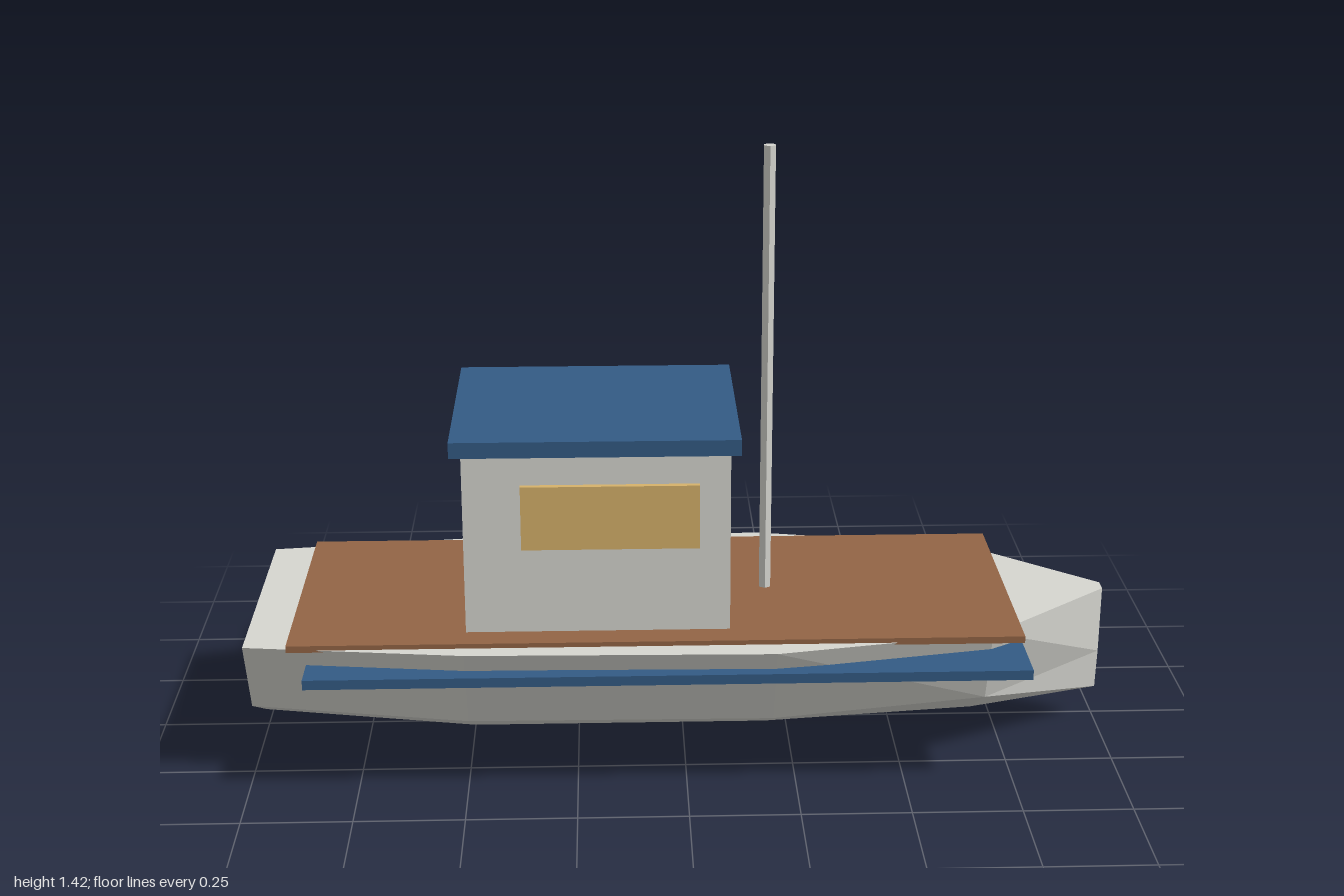
import * as THREE from 'three';
import { ConvexGeometry } from 'three/addons/geometries/ConvexGeometry.js';

const paint = (name, color) => {
  const m = new THREE.MeshStandardMaterial({ color });
  m.name = name;
  return m;
};

// Hard-chined hull lofted through five-point sections
function hullGeometry() {
  // x, half beam at gunwale, half beam at chine, keel y, chine y
  const stations = [
    [-1, 0.295, 0.21, 0.05, 0.16],
    [-0.5, 0.355, 0.255, 0, 0.135],
    [0.2, 0.368, 0.262, 0, 0.135],
    [0.7, 0.272, 0.197, 0.03, 0.15],
    [1, 0.018, 0.013, 0.08, 0.18],
  ];
  const gunwale = 0.345, n = 5;
  const points = [], index = [];
  for (const [x, top, chine, keelY, chineY] of stations) {
    points.push(x, gunwale, top, x, chineY, chine, x, keelY, 0,
      x, chineY, -chine, x, gunwale, -top);
  }
  for (let i = 0; i < stations.length - 1; i++) {
    for (let j = 0; j < n; j++) {
      const a = i * n + j, a2 = i * n + (j + 1) % n;
      index.push(a, a2, a2 + n, a, a2 + n, a + n);
    }
  }
  const bow = (stations.length - 1) * n;
  for (let k = 1; k < n - 1; k++) {
    index.push(0, k + 1, k, bow, bow + k, bow + k + 1);
  }
  const indexed = new THREE.BufferGeometry();
  indexed.setAttribute('position', new THREE.Float32BufferAttribute(points, 3));
  indexed.setIndex(index);
  const geo = indexed.toNonIndexed();
  geo.computeVertexNormals();
  return geo;
}

// Faceted buoy: two offset rings of five between two poles
function fenderGeometry() {
  const pts = [new THREE.Vector3(0, 0.072, 0), new THREE.Vector3(0, -0.072, 0)];
  for (let i = 0; i < 5; i++) {
    const a = (i * Math.PI * 2) / 5, x = Math.cos(a) * 0.0475, z = Math.sin(a) * 0.0475;
    pts.push(new THREE.Vector3(x, 0.032, z), new THREE.Vector3(-x, -0.032, z));
  }
  return new ConvexGeometry(pts);
}

export function createModel() {
  const white = paint('hull white', 0xd6d6d0);
  const blue = paint('trim blue', 0x335b85);
  const wood = paint('deck wood', 0x936546);
  const amber = paint('window amber', 0xd6b26a);
  const red = paint('fender red', 0xb03a32);

  const boat = new THREE.Group();
  boat.name = 'boat';
  boat.position.z = 0.025;
  const add = (name, geo, mat, x = 0, y = 0, z = 0) => {
    const mesh = new THREE.Mesh(geo, mat);
    mesh.name = name;
    mesh.position.set(x, y, z);
    boat.add(mesh);
    return mesh;
  };
  const box = (name, mat, x0, x1, y0, y1, depth, z = 0) =>
    add(name, new THREE.BoxGeometry(x1 - x0, y1 - y0, depth), mat, (x0 + x1) / 2, (y0 + y1) / 2, z);

  // Hull, deck and rub rail
  add('hull', hullGeometry(), white);
  box('deck', wood, -0.9, 0.765, 0.34, 0.356, 0.63);
  box('rubRail', blue, -0.86, 0.777, 0.275, 0.298, 0.745);

  // Wheelhouse
  box('cabin', white, -0.5, 0.1, 0.35, 0.79, 0.5);
  box('roof', blue, -0.525, 0.122, 0.783, 0.82, 0.55);
  for (const side of [1, -1]) {
    box(side > 0 ? 'leftWindow' : 'rightWindow', amber, -0.37, 0.03, 0.56, 0.71, 0.016, side * 0.256);
  }

  // Mast
  const mast = new THREE.CylinderGeometry(0.015, 0.015, 1.07, 6).toNonIndexed();
  mast.computeVertexNormals();
  add('mast', mast, white, 0.195, 0.885);

  // Fenders hung over one side on thin lines
  const fender = fenderGeometry();
  for (const x of [-0.67, 0.53]) {
    add('fender', fender, red, x, 0.203, -0.378);
    const line = new THREE.LineCurve3(new THREE.Vector3(x, 0.345, -0.335), new THREE.Vector3(x, 0.27, -0.378));
    add('fenderLine', new THREE.TubeGeometry(line, 1, 0.002, 5), white);
  }

  const model = new THREE.Group();
  model.name = 'fishingBoat';
  model.add(boat);
  return model;
}
